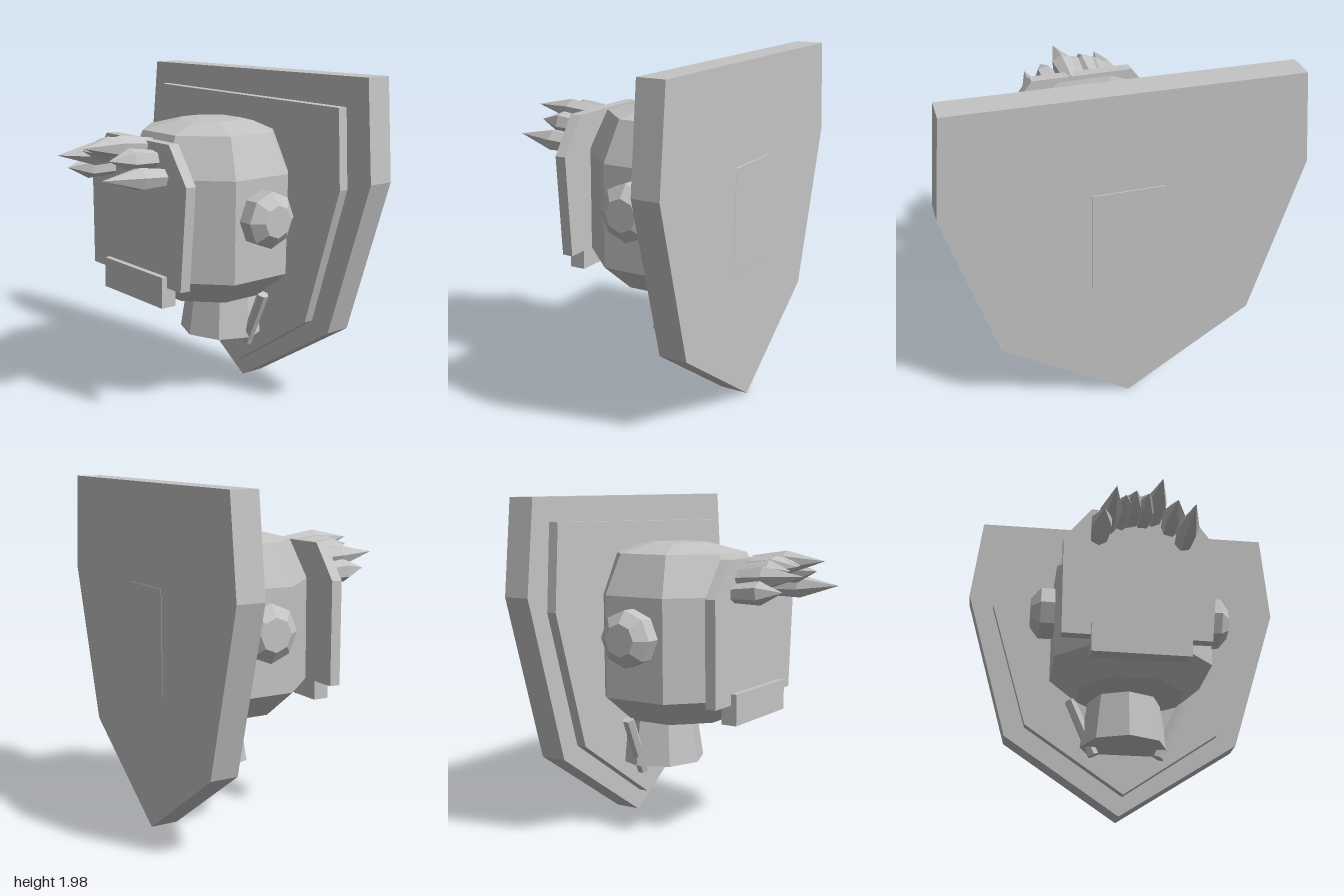
import * as THREE from 'three';

export function createModel() {
  const model = new THREE.Group();
  const grey = new THREE.MeshStandardMaterial({ color: 0xc4c4c4, flatShading: true });
  grey.name = 'plain grey';

  const add = (name, geometry, x = 0, y = 0, z = 0) => {
    const mesh = new THREE.Mesh(geometry, grey);
    mesh.name = name;
    mesh.position.set(x, y, z);
    model.add(mesh);
    return mesh;
  };
  // Flat outline in x, y pushed from z0 to z1
  const slab = (name, outline, z0, z1) => {
    const shape = new THREE.Shape(outline.map(([x, y]) => new THREE.Vector2(x, y)));
    return add(name, new THREE.ExtrudeGeometry(shape, { depth: z1 - z0, bevelEnabled: false }), 0, 0, z0);
  };
  // Faceted solid of revolution, profile from bottom to top
  const turned = (profile, sides, start = 0) => new THREE.LatheGeometry(
    profile.map(([r, y]) => new THREE.Vector2(r, y)), sides, start);

  // Wall shield in two layers
  slab('shieldBack', [[-0.94, 1.965], [-1, 1.43], [-0.73, 0.485], [-0.02, 0.01],
    [0.72, 0.49], [1, 1.41], [0.95, 1.985]], -0.7, -0.54);
  slab('shieldFront', [[-0.81, 1.83], [-0.845, 1.34], [-0.61, 0.545], [0, 0.13],
    [0.59, 0.535], [0.83, 1.36], [0.8, 1.815]], -0.54, -0.48);

  // Eight-sided head with flat front, radii given to the corners
  const corner = 1 / Math.cos(Math.PI / 8);
  add('head', turned([[0, 0.66], [0.31 * corner, 0.66], [0.472 * corner, 0.815],
    [0.472 * corner, 1.41], [0.375 * corner, 1.645], [0.17 * corner, 1.7], [0, 1.705]],
  8, Math.PI / 8), 0, 0, -0.23);

  // Face plate and mouth
  slab('facePlate', [[-0.455, 0.815], [0.405, 0.815], [0.455, 1.41], [0.3, 1.625],
    [-0.3, 1.625], [-0.46, 1.42]], 0.235, 0.3);
  add('mouth', new THREE.BoxGeometry(0.57, 0.18, 0.095), -0.005, 0.79, 0.287);

  // Ears and slanted neck rods
  for (const s of [1, -1]) {
    const side = s > 0 ? 'left' : 'right';
    const ear = add(side + 'Ear', turned([[0, 0], [0.165, 0], [0.165, 0.095], [0.095, 0.15], [0, 0.15]], 8),
      s * 0.463, 1.18, -0.23);
    ear.rotation.z = -s * Math.PI / 2;
    const rod = add(side + 'NeckRod', new THREE.CylinderGeometry(0.035, 0.035, 0.37, 6),
      s * 0.27, 0.5, -0.37);
    rod.rotation.z = -s * 0.41;
  }

  // Neck flaring downwards
  add('neck', turned([[0, 0.375], [0.265, 0.375], [0.22, 0.68], [0, 0.68]], 8), -0.015, 0, -0.36);

  // Arc of forehead spikes: x, y, tip z
  [[-0.255, 1.45, 0.6], [-0.2, 1.53, 0.7], [-0.075, 1.58, 0.6], [-0.13, 1.56, 0.58],
    [0, 1.58, 0.58], [0.06, 1.6, 0.7], [0.165, 1.54, 0.6], [0.245, 1.45, 0.7]].forEach(([x, y, tip], i) => {
    const spike = add('hairSpike' + (i + 1), turned([[0, 0], [0.048, 0], [0.067, 0.22], [0, tip - 0.24]], 6, i * 0.4),
      x, y - 0.015, 0.24);
    spike.rotation.x = Math.PI / 2 - 0.06;
  });

  return model;
}
